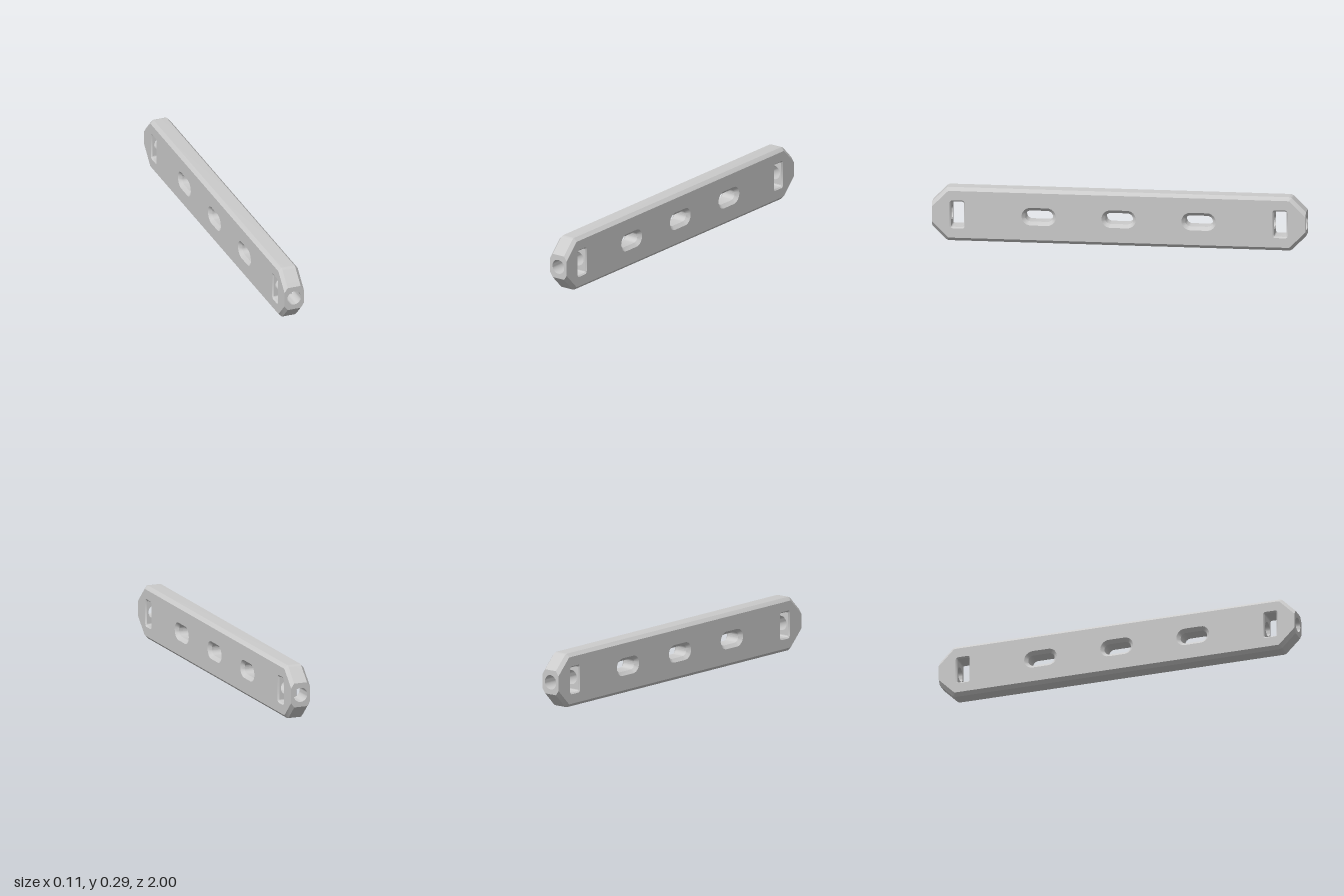
import * as THREE from 'three';
import { toCreasedNormals } from 'three/addons/utils/BufferGeometryUtils.js';

// Built along x with thickness in z, centred on the origin, then turned to run along z.
const L = 1, H = 0.1455, T = 0.055, BEVEL = 0.018;
const END = 0.0655;                         // half height of the end flat at mid thickness
const END_SIDE = END - BEVEL * Math.SQRT2 + 0.0; // the same at the side faces
const BORE = 0.039;
const POCKET = { x: 0.864, hw: 0.034, hh: 0.069, r: 0.008, lip: 0.007 };

const material = new THREE.MeshStandardMaterial({ color: 0xcccccc });
const V2 = (x, y) => new THREE.Vector2(x, y);

// Arc of points, angles in degrees
function arc(cx, cy, r, from, to, n) {
  return Array.from({ length: n + 1 }, (_, i) => {
    const t = THREE.MathUtils.degToRad(from + (to - from) * i / n);
    return V2(cx + r * Math.cos(t), cy + r * Math.sin(t));
  });
}

// Side outline with clipped corners and a small fillet, shrunk by inset except at the ends
function outline(inset) {
  const fillet = 0.03, cy = H - fillet;
  const cx = L + END - fillet * Math.SQRT2 - cy;
  const q = [V2(L, inset ? END_SIDE : END), ...arc(cx, cy, fillet - inset, 45, 90, 4)];
  const flip = (sx, sy) => q.map(p => V2(p.x * sx, p.y * sy));
  return [...q, ...flip(-1, 1).reverse(), ...flip(-1, -1), ...flip(1, -1).reverse()];
}

// Rounded rectangle; a stadium when r equals hh
function roundRect(cx, hw, hh, r) {
  const pts = [];
  [[1, 1, 0], [-1, 1, 90], [-1, -1, 180], [1, -1, 270]].forEach(([sx, sy, a]) =>
    pts.push(...arc(cx + sx * (hw - r), sy * (hh - r), r, a, a + 90, 6)));
  return pts.filter((p, i) => p.distanceTo(pts[(i + 1) % pts.length]) > 1e-6);
}

const atZ = (pts, z) => pts.map(p => new THREE.Vector3(p.x, p.y, z));
const atX = (r, x) => arc(0, 0, r, 0, 360, 32).slice(0, -1).map(p => new THREE.Vector3(x, p.x, p.y));

// Skin between closed rings of equal count; skip(a, b, i) leaves a panel open
function loft(rings, skip = () => false) {
  const tri = [];
  for (let i = 0; i < rings.length - 1; i++) {
    const r = rings[i], s = rings[i + 1], n = r.length;
    for (let j = 0; j < n; j++) {
      const k = (j + 1) % n;
      if (!skip(r[j], r[k], i)) tri.push(r[j], r[k], s[k], r[j], s[k], s[j]);
    }
  }
  return toCreasedNormals(new THREE.BufferGeometry().setFromPoints(tri), 0.5);
}

// Flat panel with holes
function panel(pts, holes) {
  const shape = new THREE.Shape(pts);
  shape.holes = holes.map(h => new THREE.Path(h));
  return new THREE.ShapeGeometry(shape);
}

function add(parent, name, geometry) {
  const mesh = new THREE.Mesh(geometry, material);
  mesh.name = name;
  parent.add(mesh);
  return mesh;
}

// Bevelled opening running through the full thickness
function throughHole(outer, inner, lip, skip) {
  return loft([atZ(outer, T), atZ(inner, T - lip), atZ(inner, lip - T), atZ(outer, -T)], skip);
}

// Bore, pocket and end face at the +x end
function makeEnd(pocketOuter, pocketInner) {
  const end = new THREE.Group();
  const { x, hw, hh, r, lip } = POCKET;
  const hole = arc(0, 0, BORE, 0, 360, 32).slice(0, -1);

  const q = [[T, END_SIDE], [T - BEVEL, END]];
  const face = [...q, ...q.map(([a, b]) => [-a, b]).reverse(),
    ...q.map(([a, b]) => [-a, -b]), ...q.map(([a, b]) => [a, -b]).reverse()];
  add(end, 'endFace', panel(face.map(p => V2(...p)), [hole]).rotateY(Math.PI / 2).translate(L, 0, 0));

  // Pocket, with its two bored walls added as flat panels
  const isWall = (a, b, i) => i === 1 && Math.abs(a.x - b.x) < 1e-6 && Math.abs(a.y - b.y) > hh;
  add(end, 'nutPocket', throughHole(pocketOuter, pocketInner, lip, isWall));
  const w = T - lip, h = hh - r;
  const wall = [V2(-w, -h), V2(w, -h), V2(w, h), V2(-w, h)];
  for (const s of [1, -1]) {
    add(end, 'pocketWall', panel(wall, [hole]).rotateY(-s * Math.PI / 2).translate(x + s * hw, 0, 0));
  }

  // Bore through the pocket, with a tapered blind bottom
  add(end, 'outerBore', loft([atX(BORE, L), atX(BORE, x + hw)]));
  add(end, 'innerBore', loft([atX(BORE, x - hw), atX(BORE, 0.72), atX(0.02, 0.7)]));
  add(end, 'boreBottom', new THREE.CircleGeometry(0.02, 32).rotateY(Math.PI / 2).translate(0.7, 0, 0));
  return end;
}

export function createModel() {
  const bar = new THREE.Group();
  bar.name = 'bar';

  // Bevelled rim, open at both end faces
  const side = outline(BEVEL), mid = outline(0);
  add(bar, 'rim', loft(
    [atZ(side, -T), atZ(mid, BEVEL - T), atZ(mid, T - BEVEL), atZ(side, T)],
    (a, b) => Math.abs(a.x) === L && a.x === b.x));

  // Openings in the side faces
  const slots = [-0.428, 0, 0.428].map(x => ({
    outer: roundRect(x, 0.092, 0.048, 0.048),
    inner: roundRect(x, 0.074, 0.03, 0.03),
  }));
  const { x, hw, hh, r, lip } = POCKET;
  const pocketAt = c => roundRect(c, hw + lip, hh + lip, r + lip);

  const openings = [...slots.map(s => s.outer), pocketAt(x), pocketAt(-x)];
  for (const turn of [0, Math.PI]) {
    add(bar, 'sideFace', panel(side, openings).translate(0, 0, T).rotateY(turn));
  }
  slots.forEach(s => add(bar, 'slot', throughHole(s.outer, s.inner, BEVEL)));

  // Matching ends
  for (const turn of [0, Math.PI]) {
    const end = makeEnd(pocketAt(x), roundRect(x, hw, hh, r));
    end.name = turn ? 'backEnd' : 'frontEnd';
    end.rotation.y = turn;
    bar.add(end);
  }

  bar.rotation.y = -Math.PI / 2;
  bar.position.y = H;
  const model = new THREE.Group();
  model.name = 'slottedBar';
  model.add(bar);
  return model;
}
